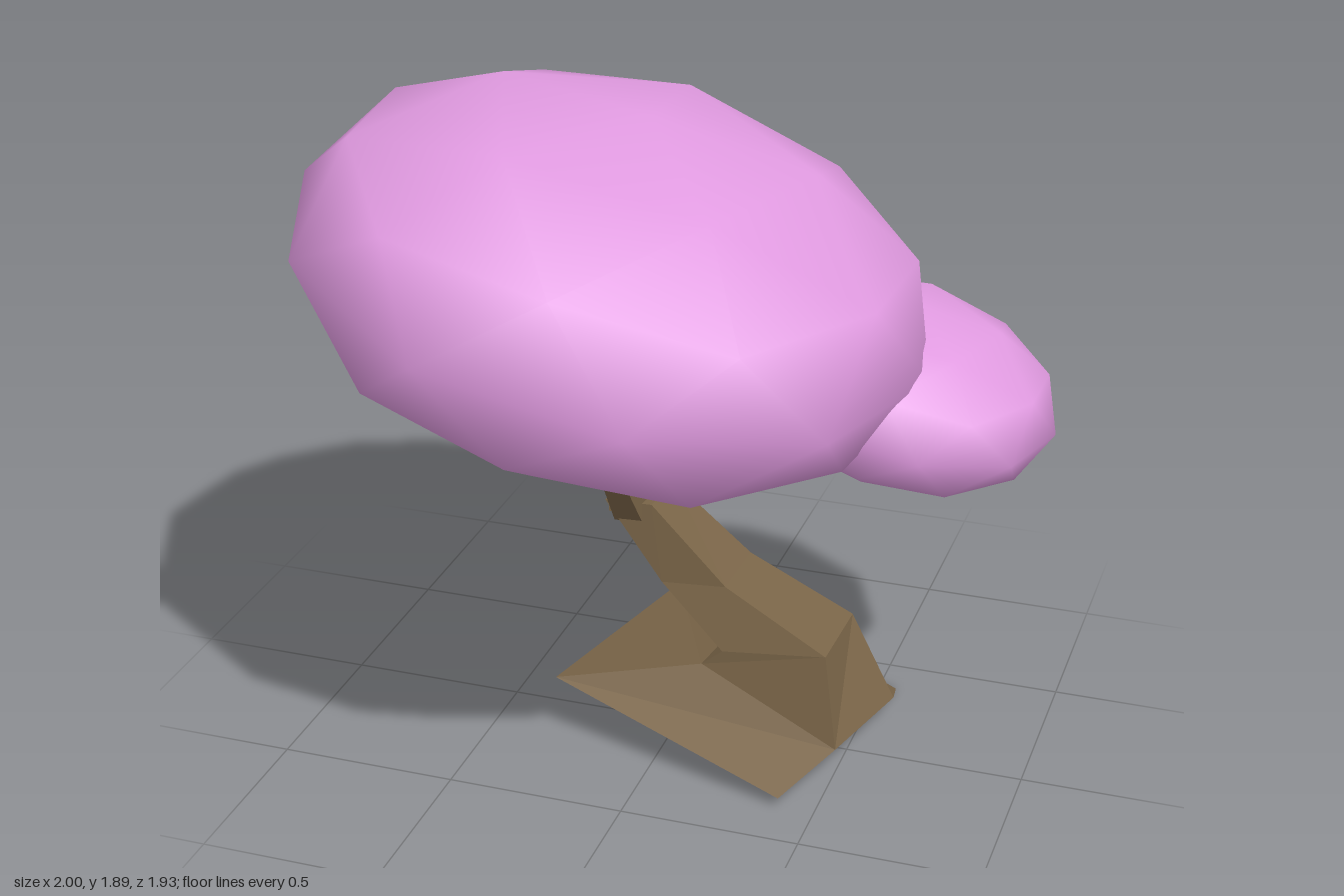
import * as THREE from 'three';

const bark = new THREE.MeshStandardMaterial({ color: 0x7a6548 });
bark.name = 'bark';
const blossom = new THREE.MeshStandardMaterial({ color: 0xe09ae0 });
blossom.name = 'blossomPink';

// Faceted solid through four-cornered rings, each counter-clockwise seen from its far end
function loft(name, rings) {
  const pos = [];
  const quad = (a, b, c, d) => pos.push(...a, ...b, ...c, ...a, ...c, ...d);
  for (let r = 0; r < rings.length - 1; r++) {
    for (let i = 0; i < 4; i++) {
      const j = (i + 1) % 4;
      quad(rings[r][i], rings[r][j], rings[r + 1][j], rings[r + 1][i]);
    }
  }
  const [a, b, c, d] = rings[0];
  quad(d, c, b, a);
  quad(...rings[rings.length - 1]);
  const geo = new THREE.BufferGeometry();
  geo.setAttribute('position', new THREE.Float32BufferAttribute(pos, 3));
  geo.computeVertexNormals();
  const mesh = new THREE.Mesh(geo, bark);
  mesh.name = name;
  return mesh;
}

// Tapered four-sided branch between two points
function branch(name, from, to, r0, r1) {
  const a = new THREE.Vector3(...from), b = new THREE.Vector3(...to);
  const geo = new THREE.CylinderGeometry(r1, r0, a.distanceTo(b), 4).rotateY(Math.PI / 4).toNonIndexed();
  geo.computeVertexNormals();
  const mesh = new THREE.Mesh(geo, bark);
  mesh.name = name;
  mesh.position.copy(a).lerp(b, 0.5);
  mesh.quaternion.setFromUnitVectors(new THREE.Vector3(0, 1, 0), b.sub(a).normalize());
  return mesh;
}

// Flattened, tilted foliage ball with a vertex at its pole
function foliage(name, center, size) {
  const geo = new THREE.IcosahedronGeometry(1, 1)
    .rotateZ(Math.atan(2 / (1 + Math.sqrt(5))))
    .rotateY(-0.245);
  const mesh = new THREE.Mesh(geo, blossom);
  mesh.name = name;
  mesh.scale.set(0.88 * size, 0.46 * size, 0.885 * size);
  mesh.rotation.z = -0.247;
  mesh.position.set(...center);
  return mesh;
}

export function createModel() {
  const tree = new THREE.Group();
  tree.name = 'windsweptTree';

  // Trunk: splayed tilted foot, then a bend leaning towards -x
  tree.add(loft('trunk', [
    [[0.4, 0.03, 0.35], [0.55, 0, -0.37], [-0.17, 0.155, -0.52], [-0.31, 0.18, 0.17]],
    [[0.51, 0.1, 0.17], [0.59, 0.09, -0.17], [0.14, 0.25, -0.28], [0.1, 0.26, 0.1]],
    [[0.46, 0.35, 0.11], [0.46, 0.335, -0.18], [0.16, 0.3, -0.22], [0.16, 0.31, 0.1]],
    [[0.15, 0.48, 0.04], [0.15, 0.47, -0.2], [-0.04, 0.45, -0.21], [-0.04, 0.46, 0.03]],
    [[-0.08, 0.68, 0], [-0.08, 0.66, -0.2], [-0.22, 0.66, -0.2], [-0.22, 0.67, -0.01]],
  ]));

  // Branches
  tree.add(
    branch('leftBranch', [-0.13, 0.67, -0.1], [0.46, 0.93, -0.08], 0.05, 0.03),
    branch('backBranch', [-0.15, 0.64, -0.15], [-0.17, 1.03, -0.53], 0.065, 0.035),
    branch('frontBranch', [-0.15, 0.64, -0.04], [-0.14, 1.02, 0.27], 0.06, 0.035),
    branch('middleBranch', [-0.155, 0.62, -0.11], [-0.18, 1.05, -0.13], 0.095, 0.085),
  );

  // Foliage
  tree.add(
    foliage('mainFoliage', [-0.15, 1.4, 0.105], 1),
    foliage('leftFoliage', [0.565, 1.075, -0.17], 0.51),
    foliage('backFoliage', [-0.17, 1.125, -0.67], 0.35),
  );
  return tree;
}
